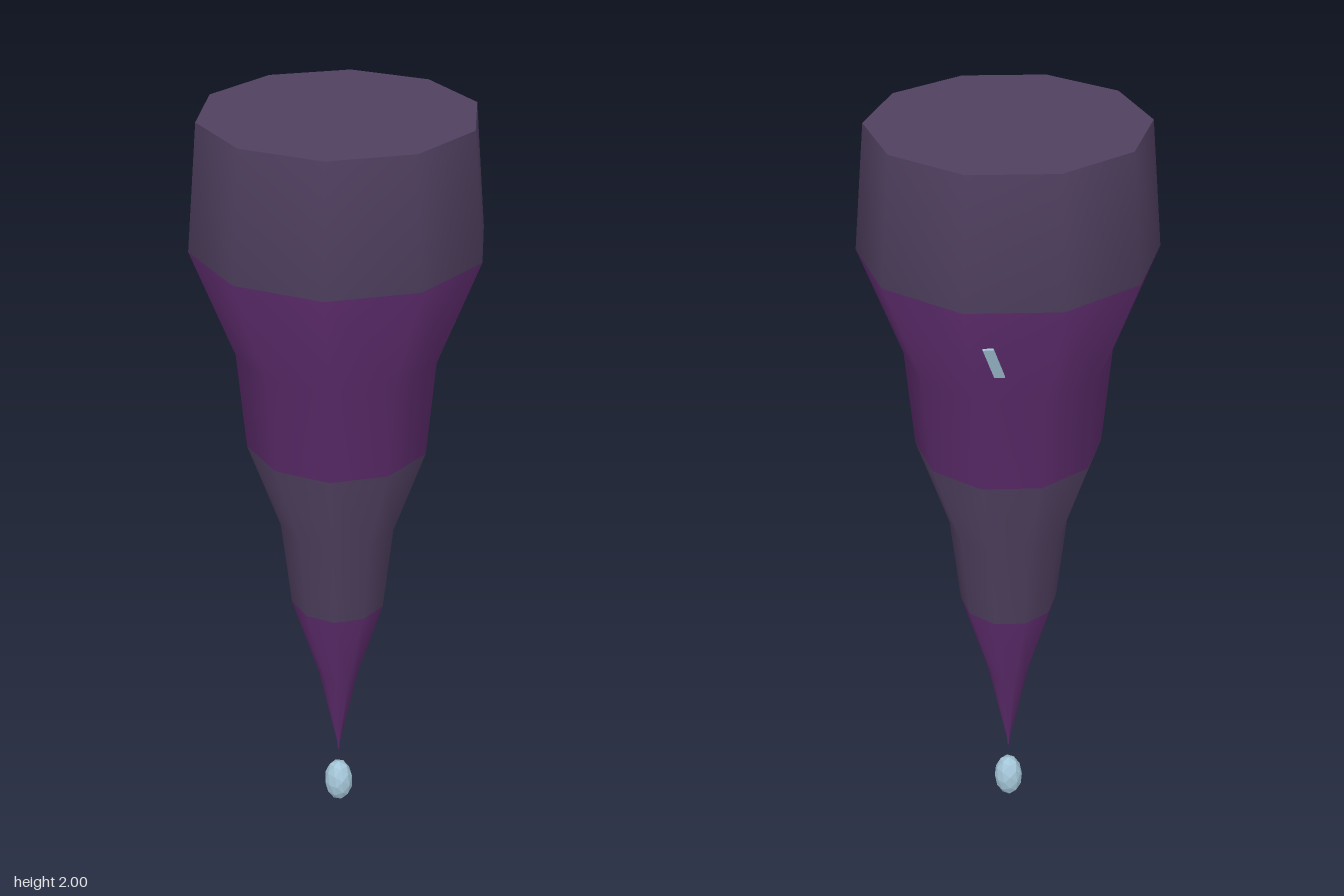
import * as THREE from 'three';

export function createModel() {
  const model = new THREE.Group();
  const mat = (name, color, extra = {}) => {
    const m = new THREE.MeshStandardMaterial({ color, ...extra });
    m.name = name;
    return m;
  };
  const stone = mat('greyStone', 0x504060);
  const purple = mat('purpleStone', 0x5c2b6b);
  const water = mat('paleWater', 0xa4c6d8, { flatShading: true });

  const add = (name, geometry, material) => {
    const mesh = new THREE.Mesh(geometry, material);
    mesh.name = name;
    model.add(mesh);
    return mesh;
  };

  // Ten-sided hanging spike, smooth sides: [radius, height] from tip to top
  const sides = 10;
  const profile = [
    [0.002, 0.18], [0.005, 0.21], [0.055, 0.46], [0.125, 0.7],
    [0.15, 0.94], [0.23, 1.18], [0.25, 1.43], [0.35, 1.7], [0.32, 2],
  ].map(([r, y]) => new THREE.Vector2(r, y));
  const bandOf = [1, 1, 1, 0, 0, 1, 1, 0]; // 0 grey, 1 purple, per profile step
  const spike = new THREE.LatheGeometry(profile, sides, Math.PI / 2);
  for (let i = 0; i < sides; i++) {
    bandOf.forEach((band, j) => spike.addGroup((i * bandOf.length + j) * 6, 6, band));
  }
  add('bandedSpike', spike, [stone, purple]);

  // Flat top
  const cap = add('topCap', new THREE.CircleGeometry(0.32, sides), stone);
  cap.rotation.x = -Math.PI / 2;
  cap.position.y = 2;

  // Falling drop below the tip
  const drop = add('waterDrop', new THREE.IcosahedronGeometry(1, 1), water);
  drop.scale.set(0.038, 0.066, 0.041);
  drop.position.y = 0.067;

  // Slanted wet glint lying on one back facet
  const glintShape = new THREE.BoxGeometry(0.024, 0.085, 0.009);
  const p = glintShape.attributes.position;
  for (let i = 0; i < p.count; i++) {
    const y = p.getY(i);
    p.setX(i, p.getX(i) - 0.3 * y);
    p.setZ(i, p.getZ(i) + 0.35 * y);
  }
  glintShape.computeVertexNormals();
  const glint = add('wetGlint', glintShape, water);
  glint.rotation.y = Math.PI * 0.8;
  glint.position.set(0.203, 1.555, -0.209);

  return model;
}
